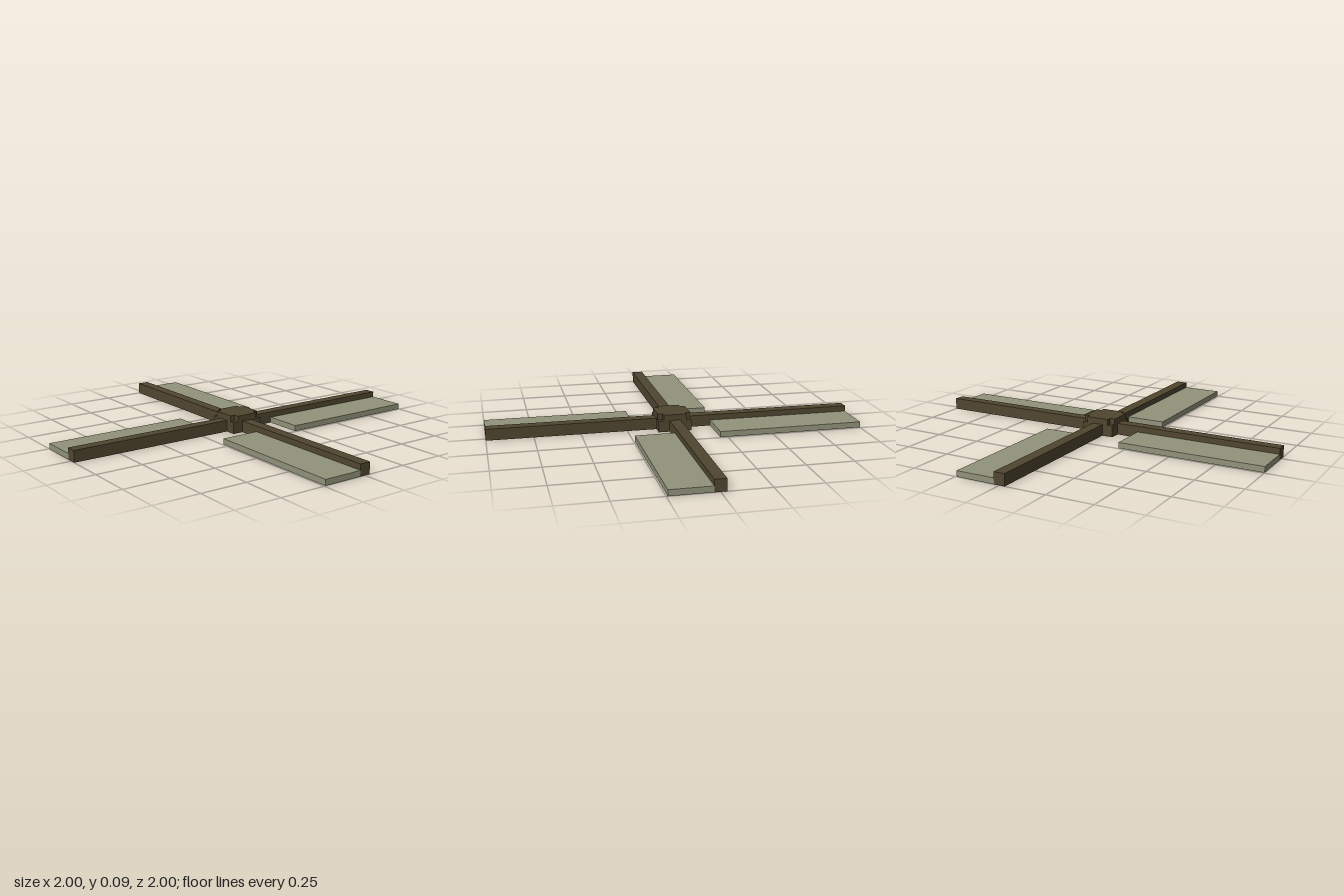
import * as THREE from 'three';

export function createModel() {
  const model = new THREE.Group();
  model.name = 'windmillRotor';

  const wood = new THREE.MeshStandardMaterial({ color: 0x50462f });
  wood.name = 'dark wood';
  const cloth = new THREE.MeshStandardMaterial({ color: 0x91937a });
  cloth.name = 'sail cloth';

  // Box given by its minimum and maximum corners
  function box(name, material, min, max, parent) {
    const size = max.map((v, i) => v - min[i]);
    const mesh = new THREE.Mesh(new THREE.BoxGeometry(...size), material);
    mesh.position.set(...max.map((v, i) => (v + min[i]) / 2));
    mesh.name = name;
    parent.add(mesh);
  }

  // Hub: square base with a cap notched at its four corners
  const hub = new THREE.Group();
  hub.name = 'hub';
  model.add(hub);
  box('hubBase', wood, [-0.09, 0, -0.09], [0.09, 0.062, 0.09], hub);

  const r = 0.09, n = 0.062;
  const outline = [
    [n, -r], [n, -n], [r, -n], [r, n], [n, n], [n, r],
    [-n, r], [-n, n], [-r, n], [-r, -n], [-n, -n], [-n, -r],
  ].map(([x, y]) => new THREE.Vector2(x, y));
  const capGeometry = new THREE.ExtrudeGeometry(new THREE.Shape(outline), { depth: 0.032, bevelEnabled: false });
  capGeometry.rotateX(-Math.PI / 2);
  const cap = new THREE.Mesh(capGeometry, wood);
  cap.position.y = 0.062;
  cap.name = 'hubCap';
  hub.add(cap);

  // Four arms, each a beam with a thin sail along one side
  for (let i = 0; i < 4; i++) {
    const arm = new THREE.Group();
    arm.name = 'arm' + (i + 1);
    arm.rotation.y = i * Math.PI / 2;
    box('beam', wood, [0.09, 0, -0.03], [1, 0.062, 0.03], arm);
    box('sail', cloth, [0.21, 0, 0.03], [1, 0.031, 0.243], arm);
    model.add(arm);
  }

  return model;
}
